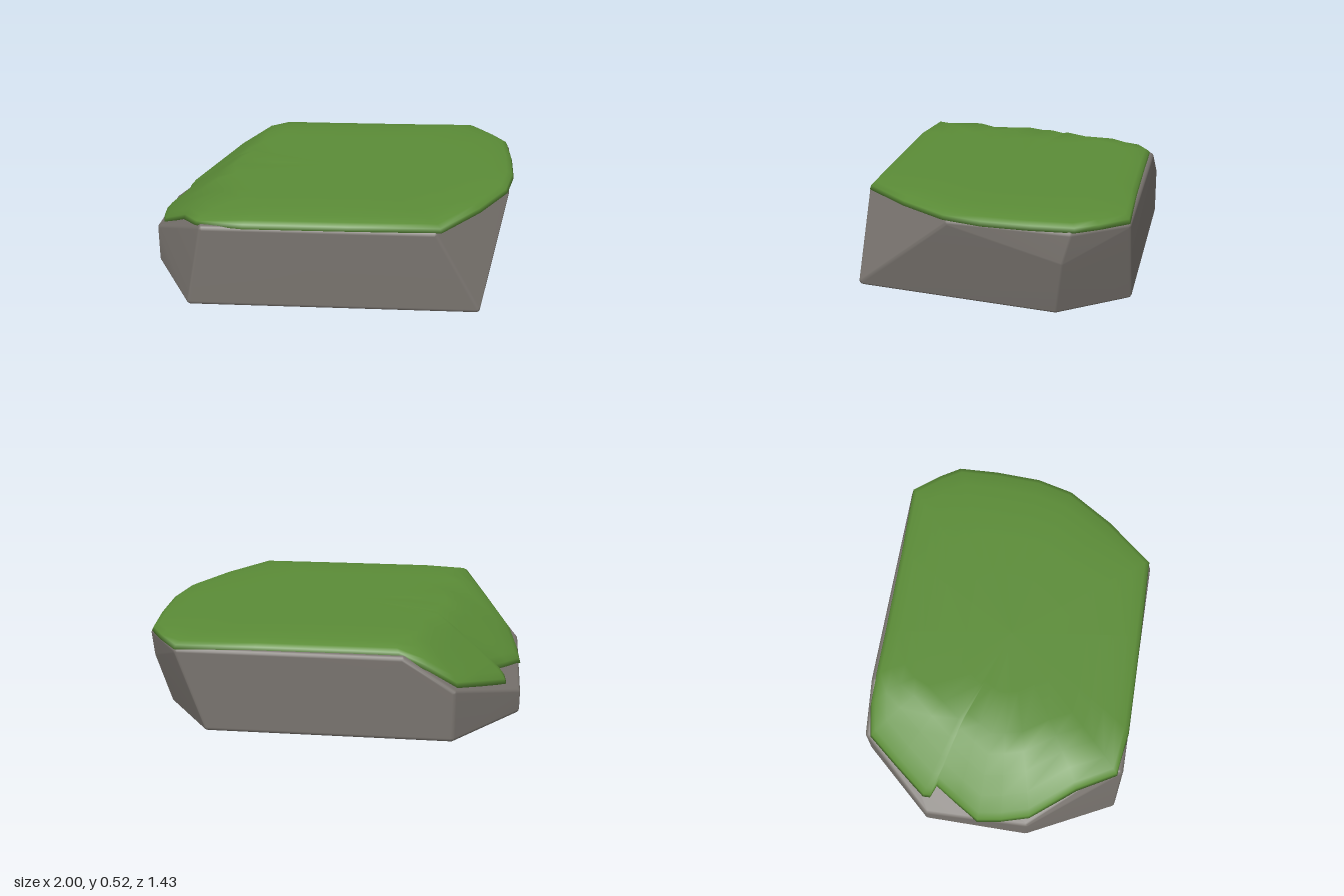
import * as THREE from 'three';
import { mergeVertices } from 'three/addons/utils/BufferGeometryUtils.js';
import { ConvexGeometry } from 'three/addons/geometries/ConvexGeometry.js';

const stone = new THREE.MeshStandardMaterial({ name: 'greyStone', color: 0x78736e });
const grass = new THREE.MeshStandardMaterial({ name: 'grassGreen', color: 0x5b8c37 });

const TOP = 0.47;
// Upper stone surface: a flat top cut by a plane sloping down to the back of the -x side
const surface = (x, z) => Math.min(TOP, 0.3 + 0.65 * (x + 0.65) + 0.16 * (z + 0.72));

// Chiselled block: hull of small spheres at the corners gives softly rounded edges
function makeRock() {
  const r = 0.025;
  const corners = [
    // base
    [0.79, 0, 0.71], [0.93, 0, -0.39], [0.68, 0, -0.72], [-0.65, 0, -0.72],
    [-0.99, 0, -0.34], [-0.99, 0, 0.26], [-0.76, 0, 0.71],
    // flat top
    [0.56, TOP, 0.71], [0.95, TOP, 0.2], [1, TOP, -0.47], [1, 0.33, -0.43], [0.82, TOP, -0.72],
    [-0.39, TOP, -0.72], [-0.71, TOP, 0.62], [-0.68, TOP, 0.71],
    // lower end of the slope
    [-0.65, 0.3, -0.72], [-0.99, 0.15, -0.34], [-0.99, 0.24, 0.26],
  ];
  const ball = new THREE.SphereGeometry(r, 12, 8).getAttribute('position');
  const points = [];
  for (const [x, y, z] of corners) {
    const centre = new THREE.Vector3(
      x - Math.sign(x) * r, y < r ? r : y - r, z - Math.sign(z) * r);
    for (let i = 0; i < ball.count; i++) {
      points.push(new THREE.Vector3().fromBufferAttribute(ball, i).add(centre));
    }
  }
  const hull = new ConvexGeometry(points);
  hull.deleteAttribute('normal');
  const smooth = mergeVertices(hull, 1e-4);
  smooth.computeVertexNormals();
  return smooth;
}

// Grass cap: rings that shrink from the ragged rim and follow the stone surface
function makeGrass() {
  const rim = [
    [0.57, 0.7], [0.78, 0.45], [0.94, 0.2], [0.99, 0], [1, -0.25], [0.99, -0.47],
    [0.92, -0.58], [0.81, -0.715], [0.4, -0.705], [-0.1, -0.7], [-0.35, -0.7], [-0.5, -0.705],
    [-0.65, -0.685], [-0.78, -0.52], [-0.91, -0.35], [-0.91, -0.31], [-0.85, -0.28],
    [-0.93, -0.15], [-1, -0.03], [-0.985, 0.1], [-0.95, 0.25], [-0.79, 0.48],
    [-0.69, 0.68], [-0.45, 0.712], [0.1, 0.708],
  ];
  // [scale, height above stone]
  const rings = [
    [0.96, -0.025], [1, -0.008], [0.99, 0.014], [0.96, 0.03], [0.88, 0.04],
    [0.78, 0.046], [0.68, 0.049], [0.58, 0.05], [0.35, 0.05], [0, 0.05],
  ];
  const n = rim.length;
  const position = [];
  const index = [];
  rings.forEach(([s, h], k) => {
    rim.forEach(([x, z], i) => {
      position.push(x * s, surface(x * s, z * s) + h, z * s);
      if (k === 0) return;
      const j = (i + 1) % n;
      const a = (k - 1) * n + i, b = (k - 1) * n + j, c = k * n + j, d = k * n + i;
      index.push(a, b, c, a, c, d);
    });
  });
  const geometry = new THREE.BufferGeometry();
  geometry.setAttribute('position', new THREE.Float32BufferAttribute(position, 3));
  geometry.setIndex(index);
  geometry.computeVertexNormals();
  return geometry;
}

export function createModel() {
  const model = new THREE.Group();
  model.name = 'grassyRock';
  const rock = new THREE.Mesh(makeRock(), stone);
  rock.name = 'rockBlock';
  const cap = new THREE.Mesh(makeGrass(), grass);
  cap.name = 'grassCap';
  model.add(rock, cap);
  return model;
}
